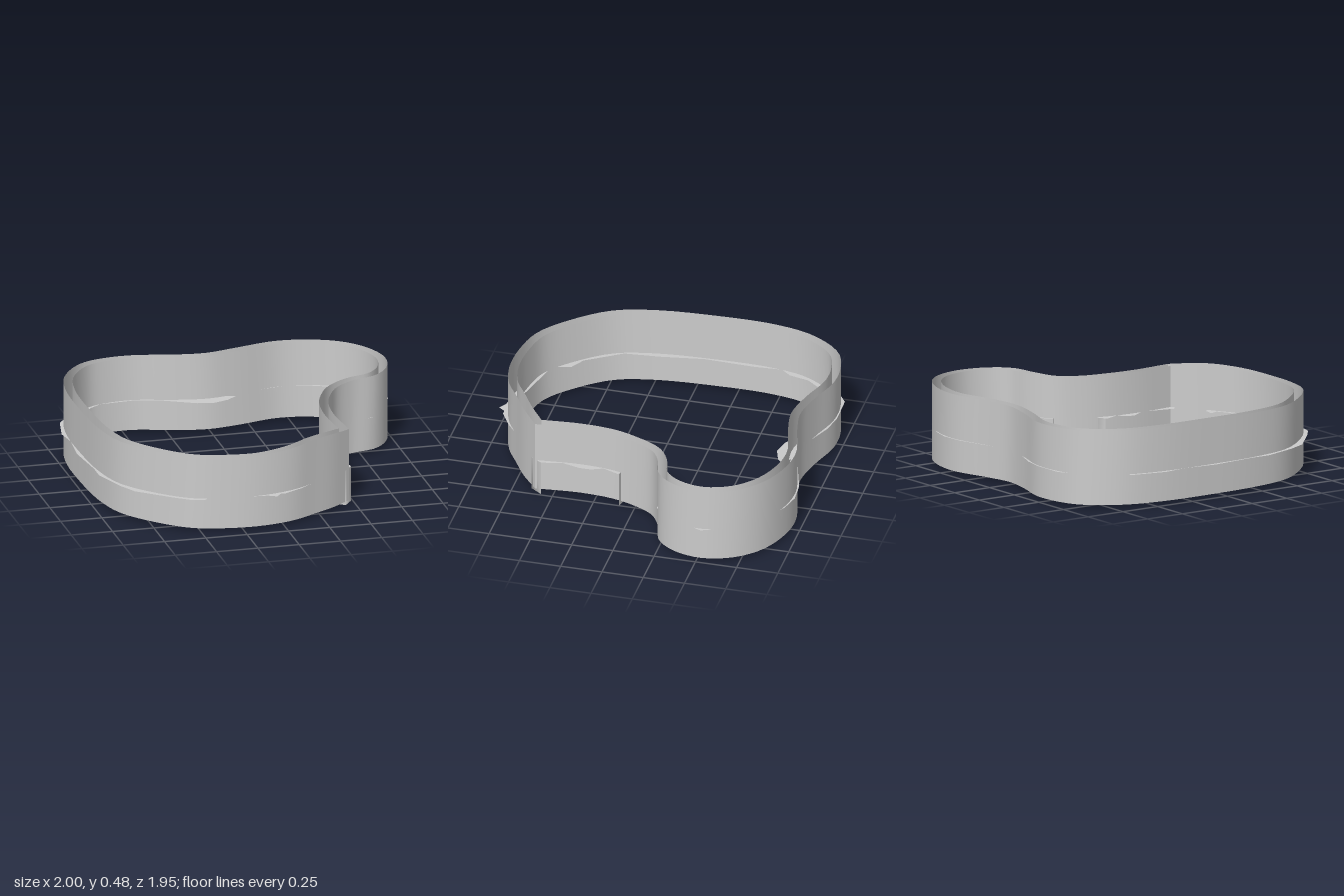
import * as THREE from 'three';

const material = new THREE.MeshStandardMaterial({ color: 0xcccccc, side: THREE.DoubleSide });
const FLOOR = 0.02, HALF_THICKNESS = 0.027, STEPS = 120;

// Centre line of the wall as [x, top height, z], from the sharp front corner round to it again
const path = [
  [0.44, 0.46, 0.60], [0.33, 0.475, 0.69], [0.2, 0.48, 0.77], [0.05, 0.47, 0.855], [-0.15, 0.457, 0.9],
  [-0.35, 0.457, 0.89], [-0.53, 0.458, 0.84], [-0.7, 0.46, 0.70], [-0.86, 0.463, 0.49], [-0.925, 0.465, 0.25],
  [-0.95, 0.467, -0.1], [-0.945, 0.467, -0.45], [-0.89, 0.465, -0.69], [-0.75, 0.465, -0.875], [-0.6, 0.465, -0.93],
  [-0.43, 0.465, -0.935], [-0.22, 0.47, -0.875], [-0.02, 0.475, -0.84], [0.17, 0.48, -0.87], [0.42, 0.48, -0.93],
  [0.6, 0.48, -0.91], [0.78, 0.48, -0.83], [0.9, 0.477, -0.70], [0.953, 0.475, -0.53], [0.92, 0.475, -0.37],
  [0.83, 0.475, -0.26], [0.68, 0.47, -0.215], [0.56, 0.46, -0.14], [0.48, 0.457, 0.0], [0.435, 0.46, 0.15],
  [0.42, 0.46, 0.35], [0.44, 0.46, 0.60],
];
const curve = new THREE.CatmullRomCurve3(path.map(p => new THREE.Vector3(...p)), false, 'centripetal');

// Horizontal unit normal of the path, mitred where the two ends meet
function wallNormal(t) {
  const side = u => {
    const d = curve.getTangent(u);
    return new THREE.Vector3(d.z, 0, -d.x).normalize();
  };
  if (t > 0 && t < 1) return side(t);
  const a = side(0), b = side(1), sum = a.clone().add(b);
  return sum.multiplyScalar(1 / (1 + a.dot(b)));
}

// Vertical strip through a list of points, each running from its own y down to a base height
function strip(name, points, base) {
  const position = [], index = [];
  points.forEach((p, i) => {
    position.push(p.x, base, p.z, p.x, p.y, p.z);
    if (i) {
      const k = 2 * i;
      index.push(k - 2, k, k - 1, k - 1, k, k + 1);
    }
  });
  const geometry = new THREE.BufferGeometry();
  geometry.setAttribute('position', new THREE.Float32BufferAttribute(position, 3));
  geometry.setIndex(index);
  geometry.computeVertexNormals();
  const mesh = new THREE.Mesh(geometry, material);
  mesh.name = name;
  return mesh;
}

function wallFace(name, offset) {
  const points = [];
  for (let i = 0; i <= STEPS; i++) {
    const t = i / STEPS;
    points.push(curve.getPoint(t).addScaledVector(wallNormal(t), offset));
  }
  return strip(name, points, FLOOR);
}

// Thin ragged sheet lying at mid height, rising slightly to the left side
const ledgeHeight = x => 0.21 + 0.01 * x;
function ledge(name, outline) {
  const shape = new THREE.Shape(outline.map(([x, z]) => new THREE.Vector2(x, -z)));
  const geometry = new THREE.ShapeGeometry(shape).rotateX(-Math.PI / 2);
  const position = geometry.attributes.position;
  for (let i = 0; i < position.count; i++) position.setY(i, ledgeHeight(position.getX(i)));
  geometry.computeVertexNormals();
  const mesh = new THREE.Mesh(geometry, material);
  mesh.name = name;
  return mesh;
}

const ledgeOuter = [
  [0.21, 0.7], [0.25, 0.76], [0.11, 0.87], [0, 0.93], [-0.03, 0.93], [-0.06, 0.97], [-0.11, 0.94], [-0.2, 0.93],
  [-0.46, 0.89], [-0.48, 0.91], [-0.56, 0.89], [-0.65, 0.82], [-0.84, 0.65], [-0.9, 0.53], [-0.97, 0.32],
  [-0.97, 0.2], [-1, -0.08], [-0.98, -0.3], [-1, -0.44], [-0.96, -0.64], [-0.9, -0.72], [-0.78, -0.88],
  [-0.65, -0.97], [-0.45, -0.975], [-0.32, -0.95], [-0.1, -0.86], [0.05, -0.865], [0.36, -0.96], [0.5, -0.97],
  [0.62, -0.94], [0.8, -0.84], [0.93, -0.7], [1, -0.53], [0.93, -0.37], [0.82, -0.22], [0.66, -0.19], [0.57, -0.13],
];
const ledgeInner = [
  [0.53, -0.17], [0.63, -0.24], [0.78, -0.27], [0.87, -0.34], [0.93, -0.54], [0.9, -0.63], [0.8, -0.78],
  [0.63, -0.86], [0.5, -0.91], [0.3, -0.88], [0.07, -0.83], [0.15, -0.81], [0.09, -0.76], [0, -0.73],
  [-0.1, -0.75], [-0.3, -0.86], [-0.45, -0.9], [-0.65, -0.89], [-0.72, -0.84], [-0.83, -0.7], [-0.86, -0.58],
  [-0.91, -0.52], [-0.9, -0.35], [-0.91, -0.05], [-0.87, 0.2], [-0.85, 0.42], [-0.71, 0.63], [-0.62, 0.68],
  [-0.59, 0.79], [-0.5, 0.81], [-0.2, 0.88], [-0.03, 0.87], [0.02, 0.8], [0.1, 0.78], [0.16, 0.74], [0.14, 0.69],
];
const sideLedge = [
  [0.36, 0.1], [0.41, 0.07], [0.5, 0.1], [0.46, 0.2], [0.49, 0.27], [0.49, 0.34], [0.46, 0.45], [0.49, 0.57],
  [0.44, 0.64], [0.36, 0.58], [0.4, 0.38], [0.34, 0.28], [0.36, 0.22], [0.4, 0.2],
];

// Upright tabs reaching the ground at the ends of the ledges
const tabs = {
  frontTab: [[0.38, 0.595], [0.44, 0.64], [0.49, 0.57]],
  middleTab: [[0.37, 0.095], [0.41, 0.075], [0.5, 0.095]],
  rearTab: [[0.53, -0.17], [0.57, -0.13]],
};

export function createModel() {
  const group = new THREE.Group();
  group.name = 'ringWall';
  group.add(
    wallFace('outerWall', HALF_THICKNESS),
    wallFace('innerWall', -HALF_THICKNESS),
    ledge('mainLedge', [...ledgeOuter, ...ledgeInner]),
    ledge('sideLedge', sideLedge),
  );
  for (const [name, line] of Object.entries(tabs)) {
    group.add(strip(name, line.map(([x, z]) => new THREE.Vector3(x, ledgeHeight(x), z)), 0));
  }
  return group;
}
